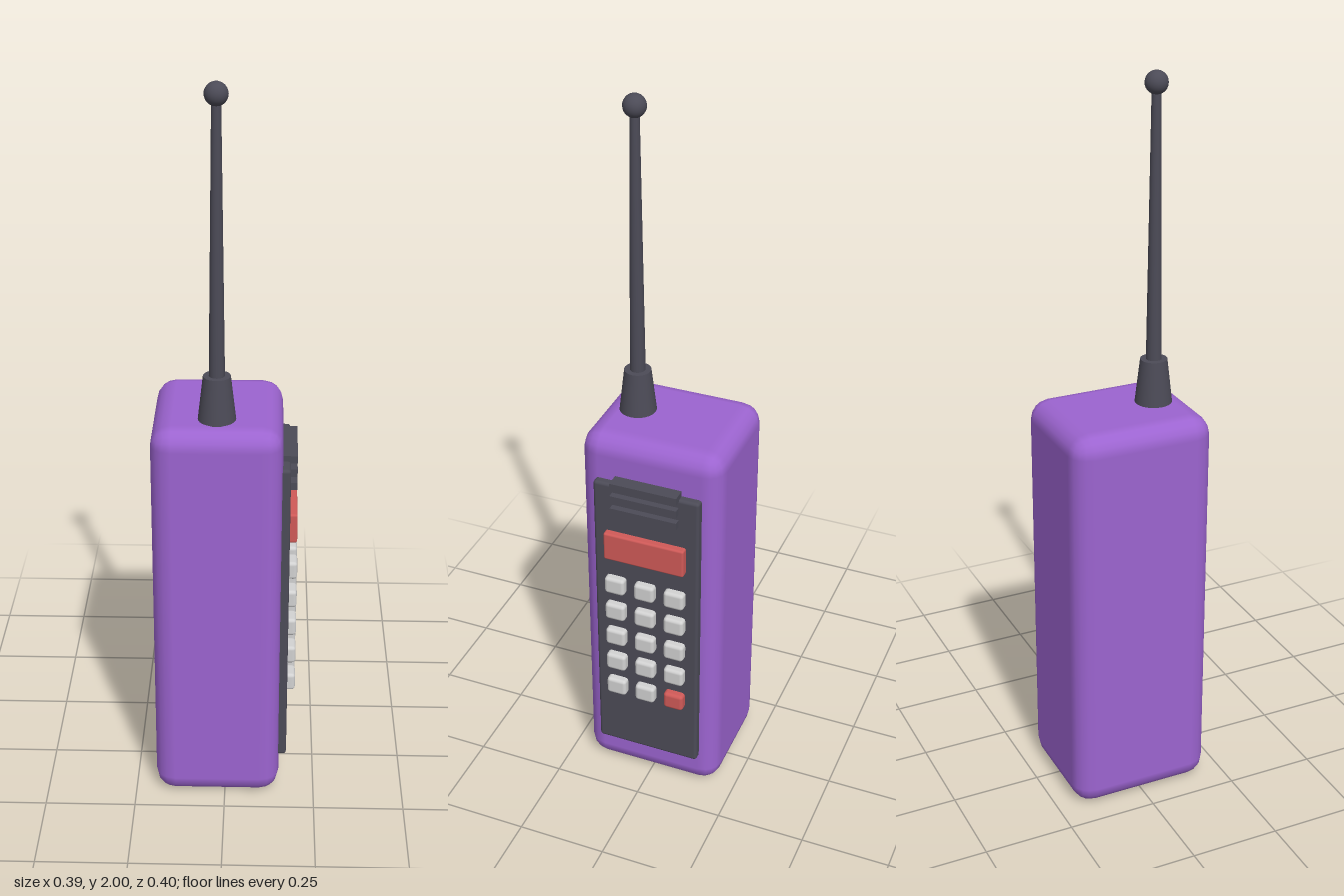
import * as THREE from 'three';
import { RoundedBoxGeometry } from 'three/addons/geometries/RoundedBoxGeometry.js';

function material(name, color) {
  const m = new THREE.MeshStandardMaterial({ color });
  m.name = name;
  return m;
}

export function createModel() {
  const purple = material('purple casing', 0x9c64d0);
  const dark = material('dark grey', 0x4c4b57);
  const red = material('red', 0xd05a58);
  const pale = material('pale grey', 0xd2d2d2);

  const phone = new THREE.Group();
  phone.name = 'mobilePhone';

  function add(name, geometry, mat, x, y, z, parent = phone) {
    const mesh = new THREE.Mesh(geometry, mat);
    mesh.name = name;
    mesh.position.set(x, y, z);
    parent.add(mesh);
    return mesh;
  }

  // Rounded box given by its x range, centre and size in y and z
  function block(name, mat, x0, x1, y, z, h, d, r, parent) {
    const g = new RoundedBoxGeometry(x1 - x0, h, d, 2, r);
    return add(name, g, mat, (x0 + x1) / 2, y, z, parent);
  }

  // Casing and the control panel on its +x side
  block('casing', purple, -0.194, 0.151, 0.562, 0, 1.124, 0.4, 0.055);
  block('panel', dark, 0.12, 0.172, 0.553, 0, 0.894, 0.3, 0.009);
  block('display', red, 0.152, 0.192, 0.81, 0, 0.085, 0.23, 0.006);

  // Earpiece ribs
  const earpiece = new THREE.Group();
  earpiece.name = 'earpiece';
  phone.add(earpiece);
  for (let i = 0; i < 3; i++) {
    add('earpieceRib', new THREE.BoxGeometry(0.04, 0.021, 0.188), dark, 0.17, 1.005 - i * 0.039, 0, earpiece);
  }

  // Keypad, five rows of three, with one red key at the lower right
  const keypad = new THREE.Group();
  keypad.name = 'keypad';
  phone.add(keypad);
  for (let row = 0; row < 5; row++) {
    for (let col = 0; col < 3; col++) {
      const isRed = row === 4 && col === 2;
      block(isRed ? 'redKey' : 'key', isRed ? red : pale, 0.154, 0.194,
        0.68 - row * 0.089, 0.086 - col * 0.086, 0.052, 0.058, 0.01, keypad);
    }
  }

  // Antenna: collar, tapered rod and ball tip
  const antenna = new THREE.Group();
  antenna.name = 'antenna';
  antenna.position.set(-0.022, 0, 0.1);
  phone.add(antenna);
  add('antennaCollar', new THREE.CylinderGeometry(0.036, 0.051, 0.13, 24), dark, 0, 1.18, 0, antenna);
  add('antennaRod', new THREE.CylinderGeometry(0.012, 0.021, 0.74, 16), dark, 0, 1.6, 0, antenna);
  add('antennaTip', new THREE.SphereGeometry(0.03, 20, 14), dark, 0, 1.97, 0, antenna);

  return phone;
}
